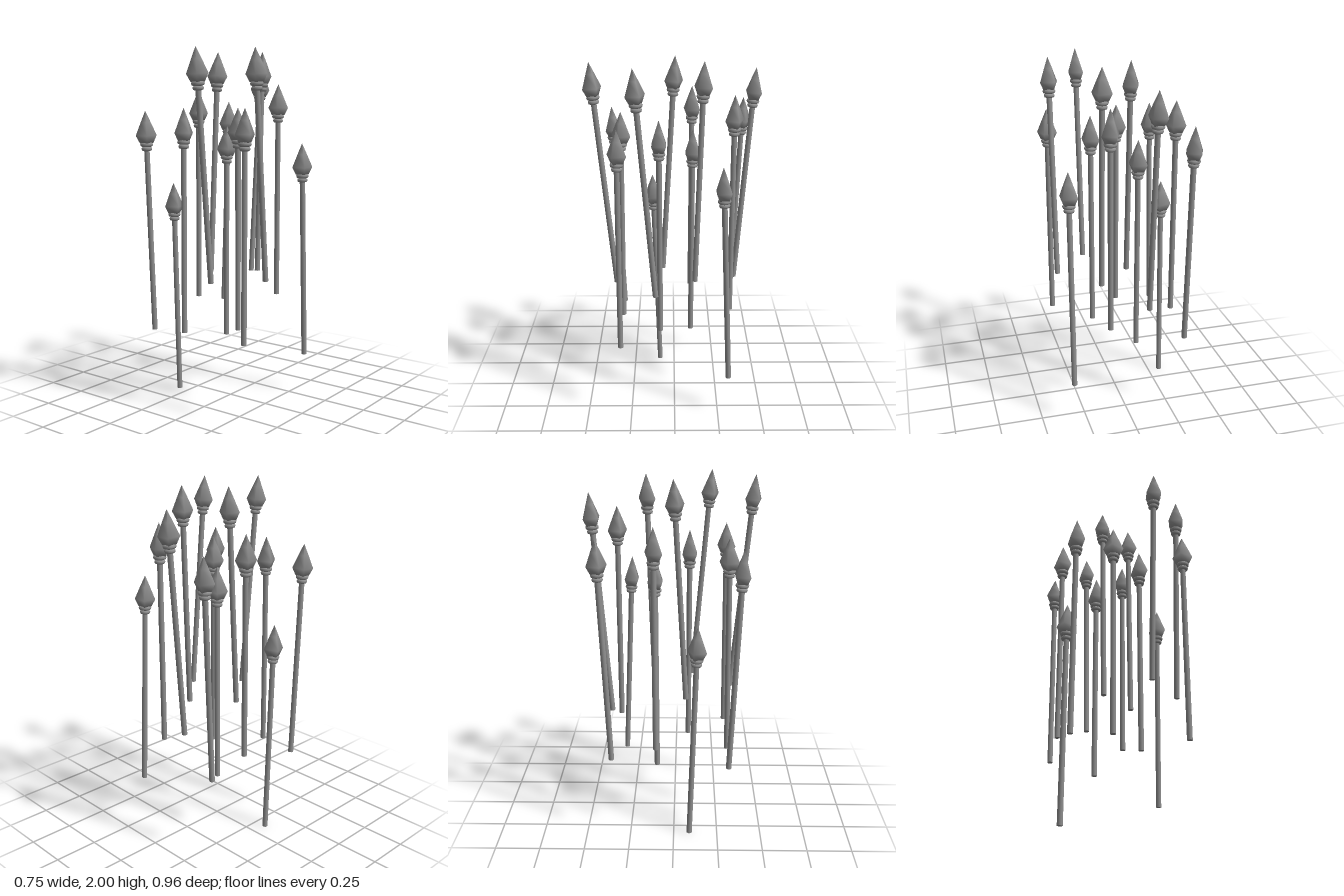
import * as THREE from 'three';

// Spear layout: [tip x, tip z, base z, base y, yaw in degrees]
const SPEARS = [
  [-0.319, -0.405, -0.35, 0.47, -22],
  [-0.319, -0.105, -0.10, 0.535, 11],
  [-0.319, 0.13, 0.09, 0.0, 22],
  [-0.315, 0.365, 0.31, 0.417, 0],
  [-0.107, -0.452, -0.355, 0.68, 0],
  [-0.107, -0.105, -0.10, 0.33, 0],
  [-0.092, -0.005, 0.067, 0.745, -19],
  [-0.092, 0.30, 0.308, 0.433, 27],
  [0.107, -0.322, -0.32, 0.567, -20],
  [0.107, -0.158, -0.118, 0.745, 12],
  [0.115, 0.085, 0.082, 0.433, 0],
  [0.115, 0.447, 0.328, 0.747, -11],
  [0.317, -0.255, -0.308, 0.233, 0],
  [0.319, 0.212, 0.105, 0.747, -17],
  [0.319, 0.30, 0.305, 0.433, 20],
];
const LENGTH = 1.253;

const vec = (pts) => pts.map(([x, y]) => new THREE.Vector2(x, y));

export function createModel() {
  const group = new THREE.Group();
  group.name = 'spearTrap';
  const material = new THREE.MeshStandardMaterial({ color: 0x909090 });

  // Round shaft standing on its base
  const shaftGeo = new THREE.CylinderGeometry(0.0155, 0.0155, 1.07, 12);
  shaftGeo.translate(0, 0.535, 0);

  // Four-sided point, slightly flatter front to back: short flare below, long taper above
  const k = Math.SQRT2;
  const headGeo = new THREE.LatheGeometry(
    vec([[0, 1.072], [0.027 * k, 1.075], [0.042 * k, 1.117], [0.02 * k, 1.19], [0, LENGTH]]),
    4, Math.PI / 4);
  headGeo.scale(1, 1, 0.95);

  // Two binding rings under the point: [height, ring radius, tube radius]
  const ringGeos = [[1.067, 0.023, 0.013], [1.043, 0.018, 0.012]].map(([y, r, t]) => {
    const g = new THREE.TorusGeometry(r, t, 8, 16);
    g.rotateX(Math.PI / 2);
    g.translate(0, y, 0);
    return g;
  });

  SPEARS.forEach(([x, tipZ, baseZ, baseY, yaw]) => {
    const spear = new THREE.Group();
    spear.name = 'spear';
    const add = (geo, name) => {
      const mesh = new THREE.Mesh(geo, material);
      mesh.name = name;
      spear.add(mesh);
    };
    add(shaftGeo, 'shaft');
    add(headGeo, 'spearhead');
    ringGeos.forEach((g) => add(g, 'bindingRing'));

    // Yaw about the shaft, then lean forward or back
    spear.position.set(x, baseY, baseZ);
    spear.rotation.set(Math.asin((tipZ - baseZ) / LENGTH), THREE.MathUtils.degToRad(yaw), 0);
    group.add(spear);
  });

  return group;
}
